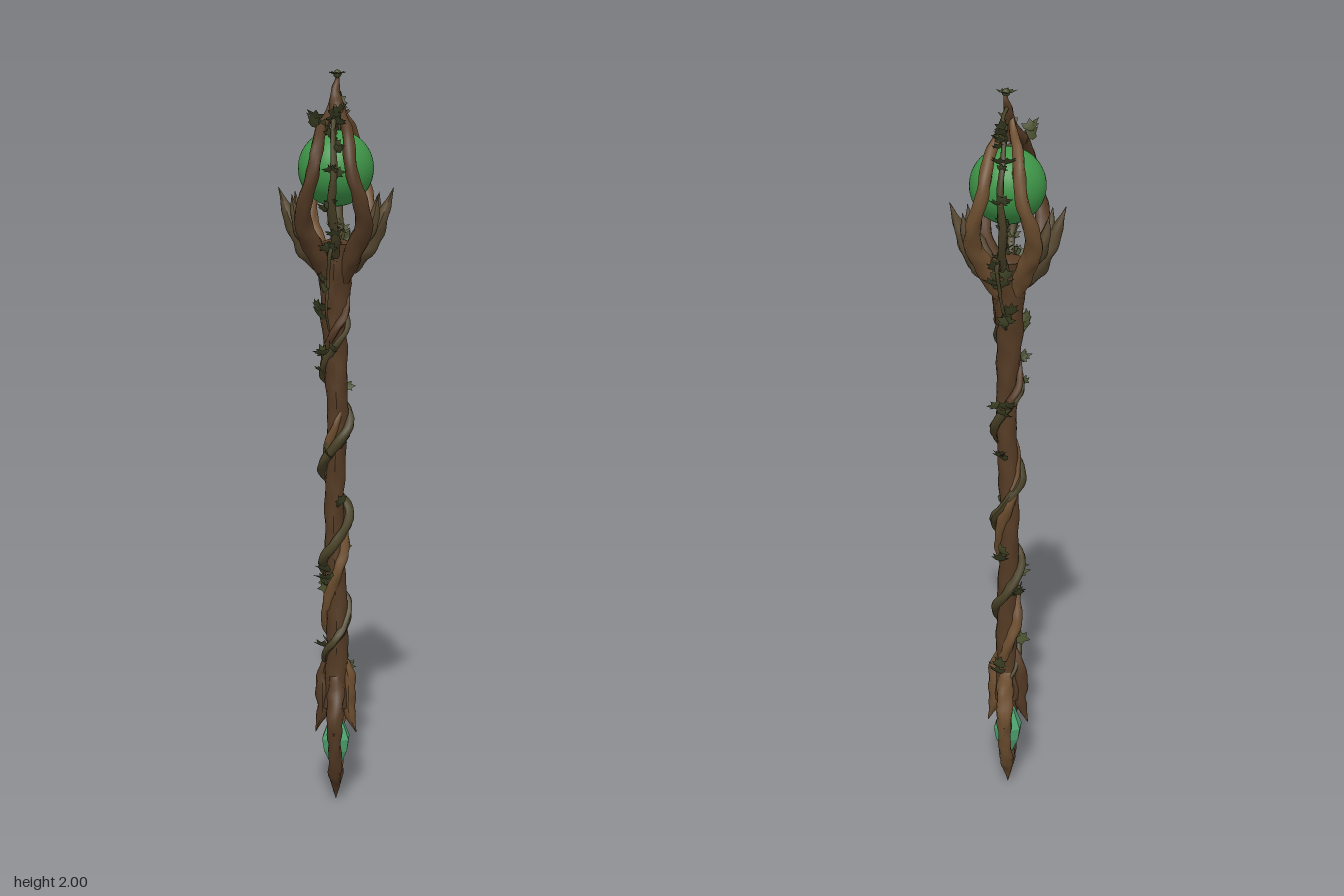
import * as THREE from 'three';

const mat = (name, color, side = THREE.FrontSide) => {
  const m = new THREE.MeshStandardMaterial({ color, side });
  m.name = name;
  return m;
};

export function createModel() {
  const bark = mat('bark', 0x553b25);
  const paleBark = mat('pale bark', 0x6e4f30);
  const vineMat = mat('vine', 0x494127);
  const leafMat = mat('leaf', 0x454a2a, THREE.DoubleSide);
  const thornMat = mat('thorn', 0x574830);
  const orbMat = mat('orb green', 0x3f9648);
  const crystalMat = mat('crystal green', 0x4fa572);

  const root = new THREE.Group();
  root.name = 'staff';
  const V = (x, y, z) => new THREE.Vector3(x, y, z);
  const add = (name, geo, material, parent = root) => {
    const m = new THREE.Mesh(geo, material);
    m.name = name;
    parent.add(m);
    return m;
  };
  let seed = 7;
  const rnd = () => (seed = (seed * 16807) % 2147483647) / 2147483647;

  // Tube whose radius follows a list of values along its length, with a knobbly surface
  const limb = (name, pts, radii, material, { seg = 24, sides = 8, rough = 0.08 } = {}) => {
    const curve = new THREE.CatmullRomCurve3(pts.map((p) => (p.isVector3 ? p : V(...p))));
    const geo = new THREE.TubeGeometry(curve, seg, 1, sides);
    const pos = geo.attributes.position, v = V(0, 0, 0);
    for (let i = 0; i <= seg; i++) {
      const t = i / seg, c = curve.getPointAt(t), f = t * (radii.length - 1);
      const k = Math.min(Math.floor(f), radii.length - 2);
      const r = THREE.MathUtils.lerp(radii[k], radii[k + 1], f - k);
      for (let j = 0; j <= sides; j++) {
        const n = i * (sides + 1) + j, a = (j / sides) * Math.PI * 2;
        const bump = 1 + rough * (Math.sin(3 * a + i * 0.7) + Math.sin(2 * a - i * 1.3));
        v.fromBufferAttribute(pos, n).sub(c).multiplyScalar(r * bump).add(c);
        pos.setXYZ(n, v.x, v.y, v.z);
      }
    }
    geo.computeVertexNormals();
    return add(name, geo, material);
  };

  // Lobed ivy leaf, folded along its midrib
  const half = [[0.2, -0.12], [0.52, 0.02], [0.32, 0.28], [0.42, 0.62], [0.17, 0.6]];
  const leafShape = new THREE.Shape([[0, 0], ...half, [0, 1], ...half.map(([x, y]) => [-x, y]).reverse()]
    .map(([x, y]) => new THREE.Vector2(x, y)));
  const leafGeo = new THREE.ShapeGeometry(leafShape);
  const lp = leafGeo.attributes.position;
  for (let i = 0; i < lp.count; i++) lp.setZ(i, -0.4 * Math.abs(lp.getX(i)) - 0.25 * lp.getY(i) ** 2);
  leafGeo.computeVertexNormals();
  const leaf = (x, y, z, size, yaw, pitch, roll) => {
    const m = add('leaf', leafGeo, leafMat);
    m.position.set(x, y, z);
    m.rotation.set(pitch, yaw, roll, 'YXZ');
    m.scale.setScalar(size);
  };
  // Little bunch of leaves facing away from the axis
  const bunch = (x, y, z, n = 3, size = 0.04) => {
    const yaw = Math.atan2(x, z);
    for (let i = 0; i < n; i++) {
      leaf(x + (rnd() - 0.5) * 0.02, y + (rnd() - 0.5) * 0.04, z + (rnd() - 0.5) * 0.02,
        size * (0.8 + 0.4 * rnd()), yaw + (rnd() - 0.5) * 1.6, 0.2 + rnd() * 0.9, (rnd() - 0.5) * 3.5);
    }
  };

  // Shaft, slightly crooked and flaring towards the head
  limb('shaft', [[0, 0.27, 0], [0.004, 0.5, 0.004], [-0.005, 0.8, -0.004], [0.004, 1.1, 0.003], [-0.004, 1.35, 0], [0, 1.55, 0]],
    [0.036, 0.03, 0.028, 0.027, 0.026, 0.026, 0.027, 0.029, 0.032, 0.04, 0.052], bark, { seg: 70, sides: 12, rough: 0.05 });
  const cap = add('headBase', new THREE.SphereGeometry(0.05, 14, 8), bark);
  cap.position.y = 1.535;
  cap.scale.y = 0.5;

  // Roots and vines winding around the shaft
  const helix = (y0, y1, pitch, phase, r) => {
    const n = Math.ceil(((y1 - y0) / pitch) * 8), pts = [];
    for (let i = 0; i <= n; i++) {
      const y = y0 + ((y1 - y0) * i) / n, a = phase + ((y - y0) / pitch) * Math.PI * 2;
      const rr = r * (1 + 0.14 * Math.sin(i * 1.7));
      pts.push(V(Math.sin(a) * rr, y, Math.cos(a) * rr));
    }
    return pts;
  };
  const thin = [0.003, 0.012, 0.014, 0.012, 0.014, 0.011, 0.003];
  limb('windingRoot', helix(0.26, 1.16, 0.42, 0.6, 0.025), thin.map((r) => r * 1.15), paleBark, { seg: 90 });
  limb('windingVine', helix(0.3, 1.42, 0.27, 2.4, 0.034), thin, vineMat, { seg: 130, sides: 7 });
  limb('upperVine', helix(1.0, 1.52, 0.34, 0.4, 0.034), thin.map((r) => r * 0.8), bark, { seg: 70, sides: 7 });

  // Leaves along the shaft
  for (const [x, y, z, n] of [[-0.04, 1.36, 0.02, 4], [0.02, 1.5, -0.075, 4], [-0.01, 1.4, -0.06, 4], [-0.02, 1.26, 0.05, 3],
    [0.01, 1.15, -0.055, 4], [-0.03, 1.2, 0.01, 2], [0.01, 1.0, -0.04, 3], [-0.025, 0.97, 0.02, 2], [0.02, 0.85, 0.03, 2],
    [-0.02, 0.64, 0.04, 4], [-0.03, 0.6, -0.03, 3], [0.02, 0.72, -0.035, 2], [0.015, 0.36, -0.04, 3], [-0.02, 0.46, 0.025, 2]]) {
    bunch(x, y, z, n);
  }

  // Hanging tendrils below the head
  limb('tendril', [[0.0, 1.56, 0.06], [-0.01, 1.53, 0.08], [-0.015, 1.46, 0.065], [-0.02, 1.38, 0.07], [-0.015, 1.32, 0.045]],
    [0.006, 0.005, 0.004, 0.003], vineMat, { seg: 20, sides: 6 });
  bunch(-0.01, 1.53, 0.075, 4);
  bunch(-0.02, 1.44, 0.06, 2, 0.03);
  limb('tendril', [[0.01, 1.58, -0.07], [0.015, 1.55, -0.095], [0.01, 1.48, -0.08], [0, 1.4, -0.06], [0, 1.36, -0.03]],
    [0.006, 0.005, 0.004, 0.003], vineMat, { seg: 20, sides: 6 });
  bunch(0.01, 1.54, -0.085, 3);

  // Orb
  add('orb', new THREE.SphereGeometry(0.1, 40, 28), orbMat).position.y = 1.745;

  // Cage: four branches that sweep around the orb and meet on top
  for (const sx of [1, -1]) {
    for (const sz of [1, -1]) {
      limb('cageBranch', [[0.022, 1.45, 0.015], [0.05, 1.53, 0.045], [0.078, 1.6, 0.08], [0.072, 1.67, 0.112], [0.052, 1.735, 0.12],
        [0.042, 1.8, 0.1], [0.034, 1.85, 0.06], [0.018, 1.885, 0.02], [0.008, 1.93, -0.004]].map(([x, y, z]) => [sx * x, y, sz * z]),
      [0.016, 0.026, 0.026, 0.022, 0.018, 0.017, 0.016, 0.013, 0.006], sz > 0 ? bark : paleBark, { seg: 40, sides: 9, rough: 0.06 });
      // Small thorns of the crown
      limb('crownThorn', [[0.05, 1.53, 0.02], [0.09, 1.59, 0.034], [0.105, 1.63, 0.04], [0.112, 1.68, 0.044]]
        .map(([x, y, z]) => [sx * x, y, sz * z]), [0.018, 0.022, 0.014, 0.0005], thornMat, { seg: 14 });
    }
    // Large side thorn
    limb('sideThorn', [[0.035, 1.48, 0], [0.08, 1.54, 0], [0.115, 1.6, 0], [0.135, 1.65, 0], [0.152, 1.695, 0]]
      .map(([x, y, z]) => [sx * x, y, z]), [0.02, 0.03, 0.024, 0.014, 0.0005], thornMat, { seg: 20 });
  }

  // Leafy vines running up the front and back of the cage
  for (const s of [1, -1]) {
    const path = [[0, 1.52, 0.045], [0.004, 1.58, 0.085], [-0.004, 1.66, 0.115], [0.004, 1.74, 0.122], [0, 1.82, 0.1], [0, 1.88, 0.07], [0, 1.91, 0.03]];
    limb('cageVine', path.map(([x, y, z]) => [x, y, s * z]), [0.013, 0.012, 0.012, 0.01, 0.008, 0.007, 0.005], vineMat, { seg: 30, sides: 7 });
    for (const [x, y, z] of path.slice(1, 6)) bunch(x, y, s * (z + 0.002), 3, 0.035);
  }
  limb('looseSprig', [[0, 1.95, -0.02], [0.005, 1.93, -0.06], [0, 1.88, -0.075], [0.005, 1.83, -0.08]], [0.006, 0.004, 0.003], vineMat, { seg: 16, sides: 6 });
  bunch(0, 1.89, -0.075, 4, 0.035);
  bunch(-0.045, 1.86, 0.055, 3, 0.045);
  bunch(0.01, 1.86, 0.075, 3, 0.035);

  // Crooked tip with its top leaves
  limb('tip', [[0, 1.86, 0.02], [0.003, 1.9, 0.015], [-0.003, 1.94, -0.006], [0.003, 1.975, -0.018], [0.004, 1.99, -0.012]],
    [0.014, 0.022, 0.015, 0.01, 0.003], bark, { seg: 18 });
  for (let i = 0; i < 5; i++) leaf(0.002, 1.985, -0.012, 0.032, i * 1.26, 1.5, 0);
  add('topBud', new THREE.SphereGeometry(0.011, 8, 6), leafMat).position.set(0.003, 1.989, -0.012);

  // Foot: knotted collar, claws around a crystal, pointed end
  for (const s of [1, -1]) {
    limb('footClaw', [[0, 0.36, 0.02], [0.003, 0.3, 0.04], [0, 0.24, 0.064], [0.002, 0.18, 0.06], [0, 0.11, 0.042], [0, 0.05, 0.012], [0, 0.02, 0]]
      .map(([x, y, z]) => [x, y, s * z]), [0.018, 0.024, 0.023, 0.018, 0.018, 0.018, 0.006], s > 0 ? bark : paleBark, { seg: 30, sides: 9 });
    limb('footSpur', [[0, 0.29, 0.045], [0, 0.25, 0.07], [0, 0.21, 0.084]].map(([x, y, z]) => [x, y, s * z]),
      [0.014, 0.013, 0.001], bark, { seg: 10 });
    limb('collarKnot', [[0.02, 0.42, 0], [0.034, 0.37, 0.006], [0.036, 0.31, 0], [0.036, 0.26, 0], [0.056, 0.195, 0]]
      .map(([x, y, z]) => [s * x, y, s * z]), [0.006, 0.018, 0.02, 0.016, 0.001], s > 0 ? paleBark : bark, { seg: 20 });
  }
  const crystal = add('footCrystal', new THREE.OctahedronGeometry(1).toNonIndexed ? new THREE.CylinderGeometry(0.024, 0.044, 0.06, 6) : null, crystalMat);
  crystal.geometry = new THREE.LatheGeometry([[0, 0.07], [0.036, 0.145], [0.042, 0.18], [0.022, 0.23], [0, 0.27]]
    .map(([x, y]) => new THREE.Vector2(x, y)), 6).toNonIndexed();
  crystal.geometry.computeVertexNormals();
  add('footPoint', new THREE.LatheGeometry([[0, 0], [0.009, 0.03], [0.022, 0.075], [0.02, 0.1], [0, 0.115]]
    .map(([x, y]) => new THREE.Vector2(x, y)), 10), bark);

  return root;
}
